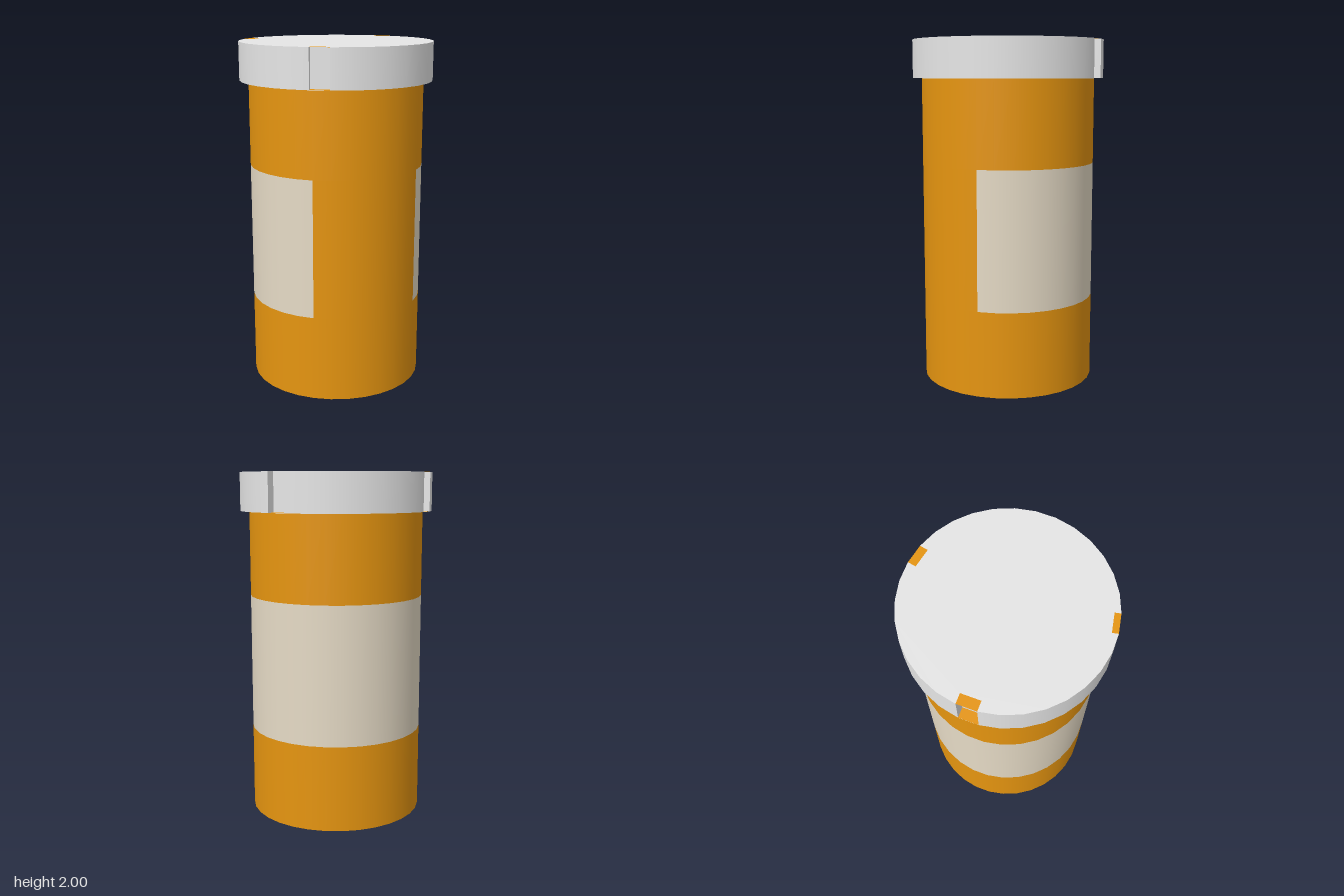
import * as THREE from 'three';

const SIDES = 32, STEP = (Math.PI * 2) / SIDES;
const BODY_R = 0.505, CAP_R = 0.557, CAP_Y = 1.78, TOP_Y = 2;
const LABEL_Y0 = 0.495, LABEL_Y1 = 1.29;

// facet index of each cap notch and its depth
const NOTCHES = [
  { facet: 9, depth: 0.046 },
  { facet: 18, depth: 0.057 },
  { facet: 27, depth: 0.034 },
];

const material = (name, color) => {
  const m = new THREE.MeshStandardMaterial({ color, side: THREE.DoubleSide });
  m.name = name;
  return m;
};

// open cylinder wall covering `count` facets from facet `start`
function wall(r, y0, y1, start = 0, count = SIDES) {
  return new THREE.CylinderGeometry(r, r, y1 - y0, count, 1, true, start * STEP, count * STEP)
    .translate(0, (y0 + y1) / 2, 0);
}

function quad(a, b, c, d) {
  const g = new THREE.BufferGeometry().setFromPoints([a, b, c, d]);
  g.setIndex([0, 1, 2, 0, 2, 3]);
  g.computeVertexNormals();
  return g;
}

// corners of a notch in plan: two on the rim, two pushed straight inwards
function notchPlan({ facet, depth }) {
  const rim = (k) => new THREE.Vector3(Math.sin(k * STEP) * CAP_R, 0, Math.cos(k * STEP) * CAP_R);
  const mid = (facet + 0.5) * STEP;
  const inward = new THREE.Vector3(-Math.sin(mid), 0, -Math.cos(mid)).multiplyScalar(depth);
  const a = rim(facet), b = rim(facet + 1);
  return { a, b, ai: a.clone().add(inward), bi: b.clone().add(inward) };
}

export function createModel() {
  const amber = material('amberPlastic', 0xe69510);
  const grey = material('capGrey', 0xe6e6e6);
  const cream = material('labelCream', 0xe6dbc6);

  const model = new THREE.Group();
  model.name = 'pillBottle';
  const add = (parent, name, geometry, mat) => {
    const mesh = new THREE.Mesh(geometry, mat);
    mesh.name = name;
    parent.add(mesh);
  };

  // bottle body, with the label wrapped over 25 of the facets
  const body = new THREE.Group();
  body.name = 'body';
  model.add(body);
  add(body, 'lowerWall', wall(BODY_R, 0, LABEL_Y0), amber);
  add(body, 'upperWall', wall(BODY_R, LABEL_Y1, CAP_Y), amber);
  add(body, 'label', wall(BODY_R, LABEL_Y0, LABEL_Y1, 2, 25), cream);
  add(body, 'labelGap', wall(BODY_R, LABEL_Y0, LABEL_Y1, 27, 7), amber);
  add(body, 'base', new THREE.CircleGeometry(BODY_R, SIDES).rotateX(Math.PI / 2), amber);

  // cap rim between notches, and its underside
  const cap = new THREE.Group();
  cap.name = 'cap';
  model.add(cap);
  NOTCHES.forEach(({ facet }, i) => {
    const next = NOTCHES[(i + 1) % NOTCHES.length].facet;
    const count = (next - facet - 1 + SIDES) % SIDES;
    add(cap, 'capRim', wall(CAP_R, CAP_Y, TOP_Y, facet + 1, count), grey);
  });
  add(cap, 'capUnderside',
    new THREE.RingGeometry(0.49, CAP_R, SIDES).rotateX(Math.PI / 2).translate(0, CAP_Y, 0), grey);

  // cap top with the notches cut out of its edge
  const outline = [];
  for (let k = 0; k < SIDES; k++) {
    outline.push(new THREE.Vector2(Math.sin(k * STEP) * CAP_R, -Math.cos(k * STEP) * CAP_R));
    const notch = NOTCHES.find((n) => n.facet === k);
    if (notch) {
      const { ai, bi } = notchPlan(notch);
      outline.push(new THREE.Vector2(ai.x, -ai.z), new THREE.Vector2(bi.x, -bi.z));
    }
  }
  add(cap, 'capTop',
    new THREE.ShapeGeometry(new THREE.Shape(outline)).rotateX(-Math.PI / 2).translate(0, TOP_Y, 0), grey);

  // notch recesses: grey walls, amber floor and lid
  for (const notch of NOTCHES) {
    const { a, b, ai, bi } = notchPlan(notch);
    const at = (p, y) => new THREE.Vector3(p.x, y, p.z);
    const upright = (p, q) => quad(at(p, CAP_Y), at(q, CAP_Y), at(q, TOP_Y), at(p, TOP_Y));
    const level = (y) => quad(at(a, y), at(b, y), at(bi, y), at(ai, y));
    add(cap, 'notchBack', upright(ai, bi), grey);
    add(cap, 'notchSide', upright(a, ai), grey);
    add(cap, 'notchSide', upright(bi, b), grey);
    add(cap, 'notchFloor', level(CAP_Y + 0.002), amber);
    add(cap, 'notchLid', level(TOP_Y), amber);
  }
  return model;
}
